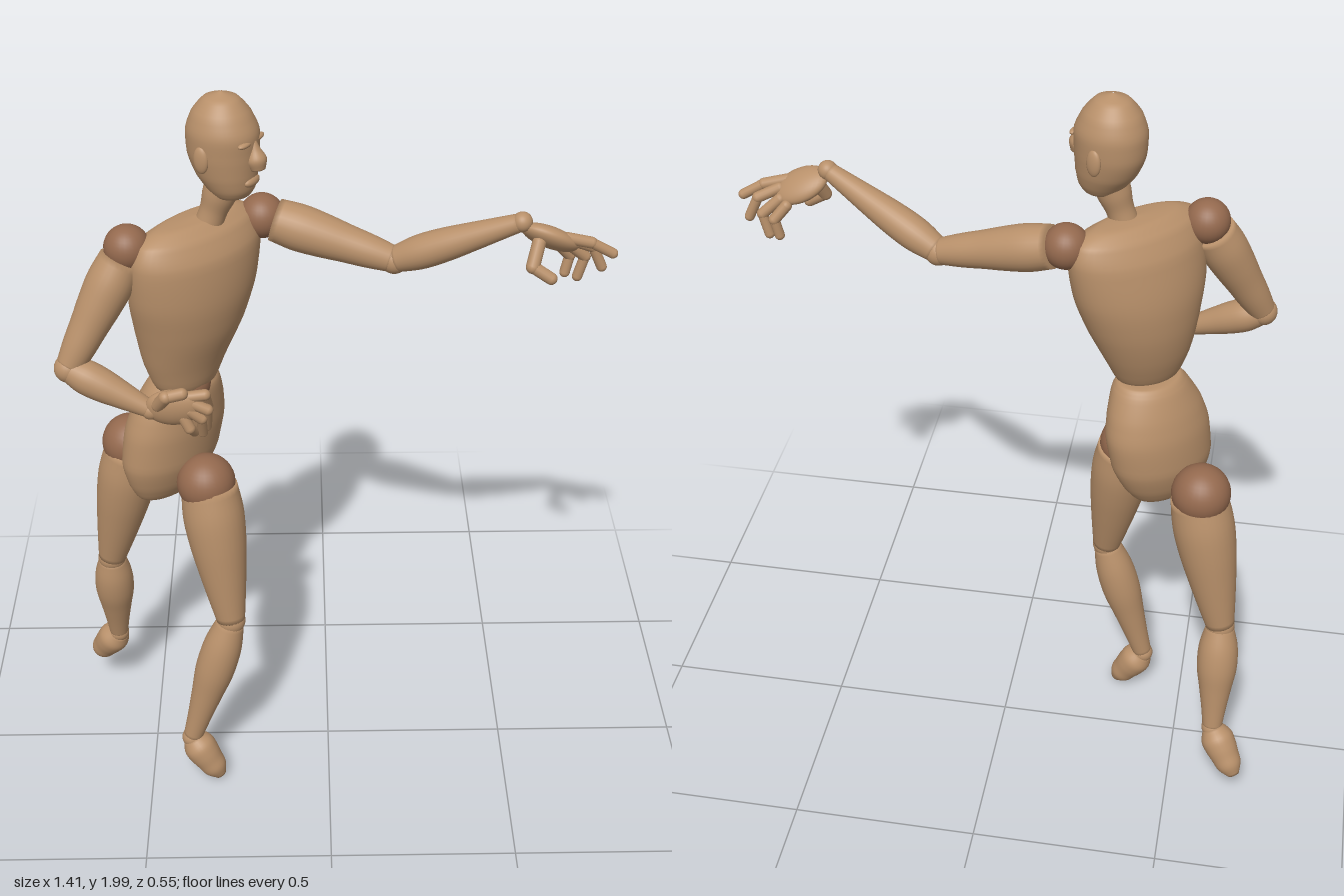
import * as THREE from 'three';

const wood = new THREE.MeshStandardMaterial({ color: 0xb8906a });
wood.name = 'light wood';
const dark = new THREE.MeshStandardMaterial({ color: 0x94694e });
dark.name = 'dark wood';

const V = (p) => new THREE.Vector3(...p);
const R2 = Math.SQRT1_2;

function addMesh(group, name, geometry, material = wood) {
  const mesh = new THREE.Mesh(geometry, material);
  mesh.name = name;
  group.add(mesh);
  return mesh;
}

function ball(group, name, p, r, material = wood) {
  addMesh(group, name, new THREE.SphereGeometry(r, 28, 20), material).position.set(...p);
}

// Ellipsoid with its x axis along ax and its y axis close to ay
function ellipsoid(group, name, p, size, ax, ay) {
  const mesh = addMesh(group, name, new THREE.SphereGeometry(1, 28, 20));
  const x = V(ax).normalize();
  const z = x.clone().cross(V(ay)).normalize();
  const y = z.clone().cross(x);
  mesh.quaternion.setFromRotationMatrix(new THREE.Matrix4().makeBasis(x, y, z));
  mesh.position.set(...p);
  mesh.scale.set(...size);
}

// Turned limb from p to q, its radii evenly spaced along the length
function limb(group, name, p, q, radii, material = wood) {
  const a = V(p), dir = V(q).sub(a), len = dir.length();
  const curve = new THREE.CatmullRomCurve3(radii.map((r, i) => new THREE.Vector3(r, (i / (radii.length - 1)) * len, 0)));
  const side = curve.getPoints(22).map((v) => new THREE.Vector2(Math.max(v.x, 0.002), v.y));
  const profile = [new THREE.Vector2(0, 0), ...side, new THREE.Vector2(0, len)];
  const mesh = addMesh(group, name, new THREE.LatheGeometry(profile, 28), material);
  mesh.position.copy(a);
  mesh.quaternion.setFromUnitVectors(new THREE.Vector3(0, 1, 0), dir.normalize());
}

// Smooth body from level oval sections [x, y, z, half width, half depth], bottom to top
function loft(group, name, rows, left, front) {
  const centre = new THREE.CatmullRomCurve3(rows.map((r) => new THREE.Vector3(r[0], r[1], r[2])));
  const size = new THREE.CatmullRomCurve3(rows.map((r) => new THREE.Vector3(r[3], r[4], 0)));
  const n = 40, m = 48, pos = [], index = [];
  for (let i = 0; i <= n; i++) {
    const c = centre.getPoint(i / n), s = size.getPoint(i / n);
    for (let j = 0; j < m; j++) {
      const t = (j / m) * Math.PI * 2;
      const u = Math.cos(t) * Math.max(s.x, 0.001), w = Math.sin(t) * Math.max(s.y, 0.001);
      pos.push(c.x + left[0] * u + front[0] * w, c.y, c.z + left[1] * u + front[1] * w);
      if (i < n) {
        const a = i * m + j, b = i * m + ((j + 1) % m);
        index.push(a, a + m, b, b, a + m, b + m);
      }
    }
  }
  const g = new THREE.BufferGeometry();
  g.setAttribute('position', new THREE.Float32BufferAttribute(pos, 3));
  g.setIndex(index);
  g.computeVertexNormals();
  addMesh(group, name, g);
}

// Jointed finger made of rounded links
function finger(group, name, pts, r) {
  for (let i = 0; i < pts.length - 1; i++) {
    const a = V(pts[i]), b = V(pts[i + 1]), d = b.clone().sub(a);
    const mesh = addMesh(group, name, new THREE.CapsuleGeometry(r * (1 - 0.1 * i), d.length(), 6, 14));
    mesh.position.copy(a).add(b).multiplyScalar(0.5);
    mesh.quaternion.setFromUnitVectors(new THREE.Vector3(0, 1, 0), d.normalize());
  }
}

function subgroup(parent, name) {
  const g = new THREE.Group();
  g.name = name;
  parent.add(g);
  return g;
}

function buildHead(model) {
  const g = subgroup(model, 'head');
  const f = [0.87, 0.5], l = [0.5, -0.87], cx = -0.25, cz = 0.008;
  // Sections: height, forward shift, half width, half depth
  const rows = [
    [1.742, 0.02, 0.002, 0.002], [1.744, 0.02, 0.042, 0.042], [1.765, 0.018, 0.058, 0.06], [1.8, 0.008, 0.071, 0.077],
    [1.85, 0, 0.08, 0.089], [1.9, 0, 0.083, 0.091], [1.95, -0.002, 0.069, 0.073],
    [1.985, -0.002, 0.04, 0.043], [2.0, -0.002, 0.002, 0.002],
  ].map(([y, s, a, b]) => [cx + f[0] * s, y, cz + f[1] * s, a, b]);
  loft(g, 'skull', rows, l, f);
  const at = (fwd, left, y) => [cx + f[0] * fwd + l[0] * left, y, cz + f[1] * fwd + l[1] * left];
  limb(g, 'nose', at(0.083, 0, 1.898), at(0.096, 0, 1.823), [0.006, 0.014, 0.025, 0.018]);
  const fwd = [f[0], 0, f[1]], up = [0, 1, 0];
  ellipsoid(g, 'mouth', at(0.077, 0, 1.79), [0.014, 0.014, 0.03], fwd, up);
  for (const s of [-1, 1]) {
    ellipsoid(g, 'ear', at(-0.012, s * 0.08, 1.853), [0.02, 0.034, 0.011], fwd, up);
    ellipsoid(g, 'brow', at(0.078, s * 0.028, 1.892), [0.012, 0.008, 0.026], fwd, up);
  }
  limb(model, 'neck', [-0.29, 1.665, 0.012], [-0.25, 1.775, 0.013], [0.035, 0.035, 0.042, 0.045]);
}

function buildBody(model) {
  const left = [R2, -R2], front = [R2, R2];
  loft(model, 'chest', [
    [-0.365, 1.222, 0.024, 0.002, 0.002], [-0.365, 1.225, 0.024, 0.08, 0.058], [-0.362, 1.3, 0.017, 0.12, 0.088],
    [-0.347, 1.4, 0.013, 0.157, 0.114], [-0.335, 1.5, 0.013, 0.187, 0.12], [-0.325, 1.6, 0.014, 0.198, 0.105],
    [-0.322, 1.655, 0.012, 0.18, 0.075], [-0.32, 1.68, 0.01, 0.12, 0.042], [-0.318, 1.685, 0.01, 0.002, 0.002],
  ], left, front);
  ball(model, 'waistJoint', [-0.36, 1.225, 0.03], 0.06, dark);
  ellipsoid(model, 'waistRim', [-0.368, 1.215, 0.01], [0.09, 0.03, 0.07], [1, 0, -1], [0, 1, 0]);
  loft(model, 'pelvis', [
    [-0.43, 0.88, 0, 0.002, 0.002], [-0.43, 0.883, 0, 0.085, 0.045], [-0.424, 0.93, -0.003, 0.123, 0.075],
    [-0.415, 1.0, -0.006, 0.148, 0.096], [-0.402, 1.08, -0.008, 0.151, 0.1], [-0.39, 1.15, -0.005, 0.136, 0.095],
    [-0.375, 1.215, 0, 0.105, 0.082], [-0.372, 1.236, 0, 0.085, 0.065], [-0.372, 1.238, 0, 0.002, 0.002],
  ], left, front);
}

function buildLeg(model, name, { hip, thighTop, knee, ankle, toe }) {
  const g = subgroup(model, name);
  ball(g, 'hipJoint', hip, 0.077, dark);
  limb(g, 'thigh', thighTop, knee, [0.074, 0.081, 0.076, 0.065, 0.052, 0.038]);
  ball(g, 'knee', knee, 0.039);
  limb(g, 'calf', knee, ankle, [0.036, 0.052, 0.054, 0.044, 0.034, 0.026]);
  ball(g, 'ankle', ankle, 0.029);
  limb(g, 'foot', ankle, toe, [0.028, 0.044, 0.044, 0.039, 0.034, 0.016]);
}

function buildArm(model, name, { shoulder, elbow, wrist, palm, fingers }) {
  const g = subgroup(model, name);
  ball(g, 'shoulderJoint', shoulder, 0.057, dark);
  const start = V(shoulder).lerp(V(elbow), 0.1).toArray();
  limb(g, 'upperArm', start, elbow, [0.054, 0.059, 0.055, 0.048, 0.042, 0.033]);
  ball(g, 'elbow', elbow, 0.036);
  limb(g, 'forearm', elbow, wrist, [0.033, 0.043, 0.042, 0.036, 0.029, 0.022]);
  ball(g, 'wrist', wrist, 0.025);
  ellipsoid(g, 'palm', ...palm);
  fingers.forEach((pts, i) => finger(g, i ? 'finger' : 'thumb', pts, i ? 0.0145 : 0.017));
}

export function createModel() {
  const model = new THREE.Group();
  model.name = 'posedMannequin';
  buildHead(model);
  buildBody(model);

  buildLeg(model, 'leftLeg', {
    hip: [-0.32, 0.955, 0.09], thighTop: [-0.313, 0.945, 0.092],
    knee: [-0.265, 0.548, 0.155], ankle: [-0.385, 0.14, 0.165], toe: [-0.308, 0.014, 0.184],
  });
  buildLeg(model, 'rightLeg', {
    hip: [-0.53, 0.96, -0.105], thighTop: [-0.525, 0.945, -0.1],
    knee: [-0.61, 0.55, -0.138], ankle: [-0.615, 0.23, -0.2], toe: [-0.687, 0.112, -0.255],
  });

  // Raised arm with a loosely pointing hand
  buildArm(model, 'leftArm', {
    shoulder: [-0.163, 1.637, -0.083], elbow: [0.165, 1.548, -0.01], wrist: [0.465, 1.695, 0.087],
    palm: [[0.535, 1.65, 0.08], [0.076, 0.05, 0.026], [0.13, -0.06, -0.01], [0, 0.55, 0.8]],
    fingers: [
      [[0.505, 1.65, 0.11], [0.49, 1.6, 0.138], [0.535, 1.572, 0.146]],
      [[0.575, 1.655, 0.095], [0.635, 1.64, 0.09], [0.69, 1.608, 0.085]],
      [[0.59, 1.64, 0.075], [0.645, 1.615, 0.062], [0.67, 1.56, 0.06]],
      [[0.585, 1.62, 0.055], [0.63, 1.58, 0.043], [0.615, 1.525, 0.042]],
      [[0.565, 1.61, 0.04], [0.595, 1.575, 0.027], [0.585, 1.53, 0.03]],
    ],
  });
  // Bent arm with a half-closed hand at the waist
  buildArm(model, 'rightArm', {
    shoulder: [-0.485, 1.64, 0.095], elbow: [-0.64, 1.35, 0.172], wrist: [-0.44, 1.255, 0.215],
    palm: [[-0.385, 1.268, 0.226], [0.07, 0.052, 0.027], [1, 0.1, 0.1], [0.1, 0.95, 0.15]],
    fingers: [
      [[-0.42, 1.28, 0.235], [-0.4, 1.315, 0.258], [-0.36, 1.32, 0.25]],
      [[-0.35, 1.3, 0.232], [-0.305, 1.305, 0.23], [-0.3, 1.255, 0.2]],
      [[-0.34, 1.285, 0.235], [-0.3, 1.265, 0.235], [-0.305, 1.2, 0.205]],
      [[-0.345, 1.265, 0.238], [-0.315, 1.24, 0.235], [-0.315, 1.185, 0.21]],
      [[-0.36, 1.245, 0.236], [-0.345, 1.215, 0.24], [-0.335, 1.19, 0.215]],
    ],
  });
  return model;
}
